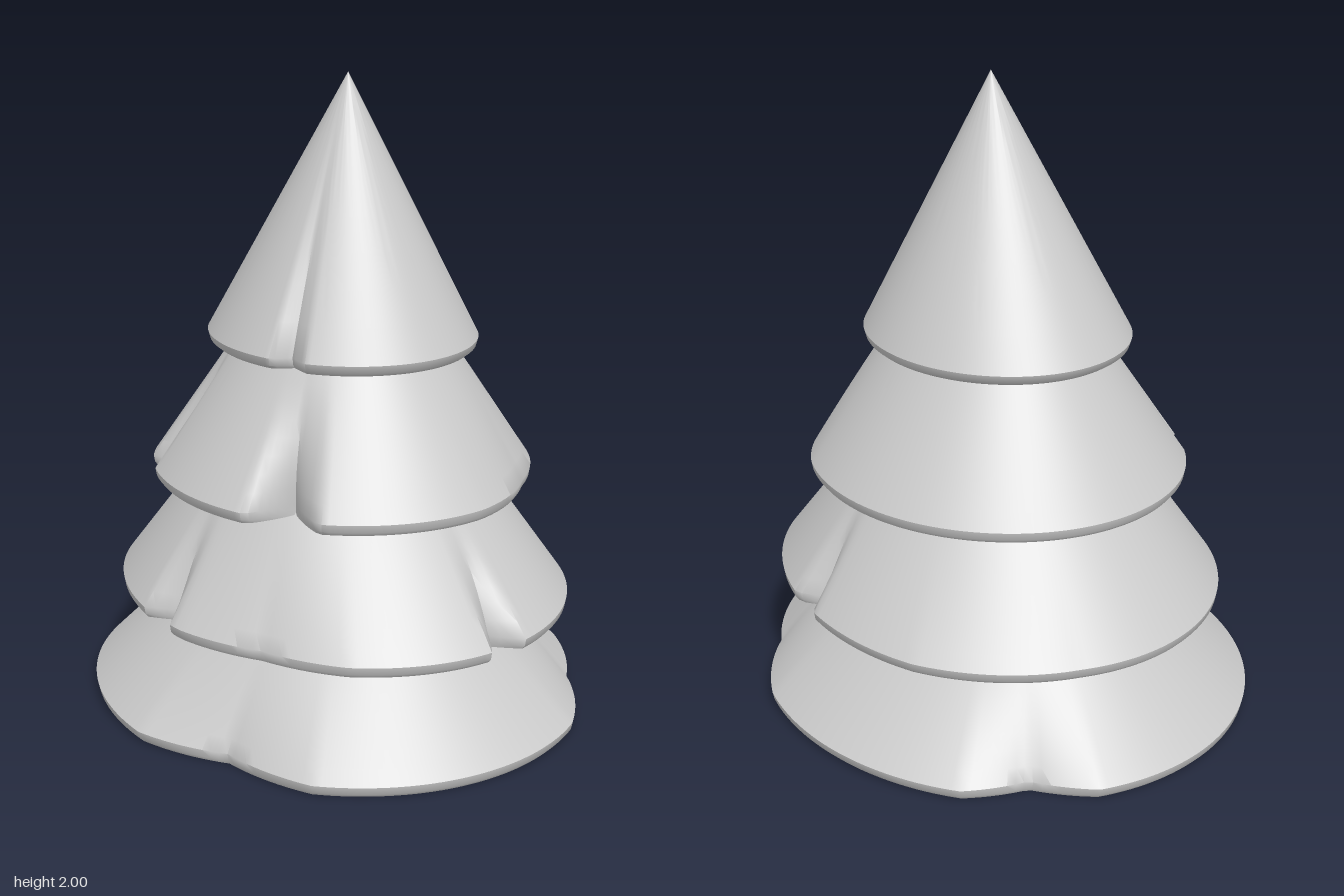
import * as THREE from 'three';
import { toCreasedNormals } from 'three/addons/utils/BufferGeometryUtils.js';

const SIDES = 180;
const ROWS = 8;
const LIP = 0.035; // height of the turned-in lower edge
const { lerp, degToRad } = THREE.MathUtils;

// A tier widens from its ring at the top to its rim at the bottom; both are ellipses.
// Dents in the rim are V shaped; negative depth bulges out. Angles: 0 = +x, 90 = front.
const tiers = [
  {
    name: 'bottomBoughs', bottom: 0, top: 0.36,
    rim: { z: 0, rx: 0.787, rz: 0.88 }, ring: { z: 0, rx: 0.445, rz: 0.565 },
    dents: [
      { angle: -67, width: 15, depth: 0.09 },
      { angle: 30, width: 24, depth: 0.07 },
      { angle: 146, width: 22, depth: 0.11 },
    ],
  },
  {
    name: 'lowerBoughs', bottom: 0.353, top: 0.745,
    rim: { z: 0.03, rx: 0.695, rz: 0.807 }, ring: { z: 0.03, rx: 0.445, rz: 0.5 },
    dents: [
      { angle: -40, width: 40, depth: -0.04 },
      { angle: -2, width: 5, depth: 0.11 },
      { angle: 76, width: 6, depth: 0.12 },
      { angle: 140, width: 22, depth: 0.05 },
      { angle: 172, width: 6, depth: 0.12 },
    ],
  },
  {
    name: 'middleBoughs', bottom: 0.735, top: 1.165,
    rim: { z: 0.035, rx: 0.597, rz: 0.655 }, ring: { z: 0.04, rx: 0.33, rz: 0.38 },
    dents: [
      { angle: -160, width: 5, depth: 0.22 },
      { angle: 45, width: 30, depth: 0.045 },
      { angle: 136, width: 11, depth: 0.25 },
    ],
  },
  {
    name: 'treeTop', bottom: 1.158, top: 2,
    rim: { z: 0.03, rx: 0.413, rz: 0.47 }, ring: { z: 0.07, rx: 0, rz: 0 },
    dents: [{ angle: 142, width: 8, depth: 0.11 }],
  },
];

function tierGeometry({ bottom, top, rim, ring, dents }) {
  const positions = [];
  const addRow = (y, spread) => {
    for (let j = 0; j < SIDES; j++) {
      const degrees = j * 360 / SIDES - 180;
      const angle = degToRad(degrees);
      const dent = dents.reduce((sum, d) =>
        sum + d.depth * Math.max(0, 1 - Math.abs(degrees - d.angle) / d.width), 0);
      const scale = 1 - dent * spread ** 1.5; // dents fade out upwards
      positions.push(
        lerp(ring.rx, rim.rx, spread) * scale * Math.cos(angle),
        y,
        lerp(ring.z, rim.z, spread) + lerp(ring.rz, rim.rz, spread) * scale * Math.sin(angle));
    }
  };
  // sloping side, then the lip
  for (let i = 0; i <= ROWS; i++) addRow(lerp(top, bottom + LIP, i / ROWS), i / ROWS);
  addRow(bottom + LIP / 3, 0.985);
  addRow(bottom, 0.95);

  // centre of the flat underside
  const centre = positions.length / 3;
  positions.push(0, bottom, rim.z);

  const index = [];
  for (let a = 0; a < centre; a++) {
    const b = (a + 1) % SIDES === 0 ? a + 1 - SIDES : a + 1;
    if (a >= centre - SIDES) {
      index.push(a, b, centre);
      continue;
    }
    if (a >= SIDES || ring.rx > 0) index.push(a, b, a + SIDES); // the apex needs one triangle only
    index.push(b, b + SIDES, a + SIDES);
  }
  const geometry = new THREE.BufferGeometry();
  geometry.setAttribute('position', new THREE.Float32BufferAttribute(positions, 3));
  geometry.setIndex(index);
  return toCreasedNormals(geometry, 0.7);
}

export function createModel() {
  const tree = new THREE.Group();
  tree.name = 'tree';
  const material = new THREE.MeshStandardMaterial({ color: 0xcccccc });
  for (const tier of tiers) {
    const mesh = new THREE.Mesh(tierGeometry(tier), material);
    mesh.name = tier.name;
    tree.add(mesh);
  }
  return tree;
}
